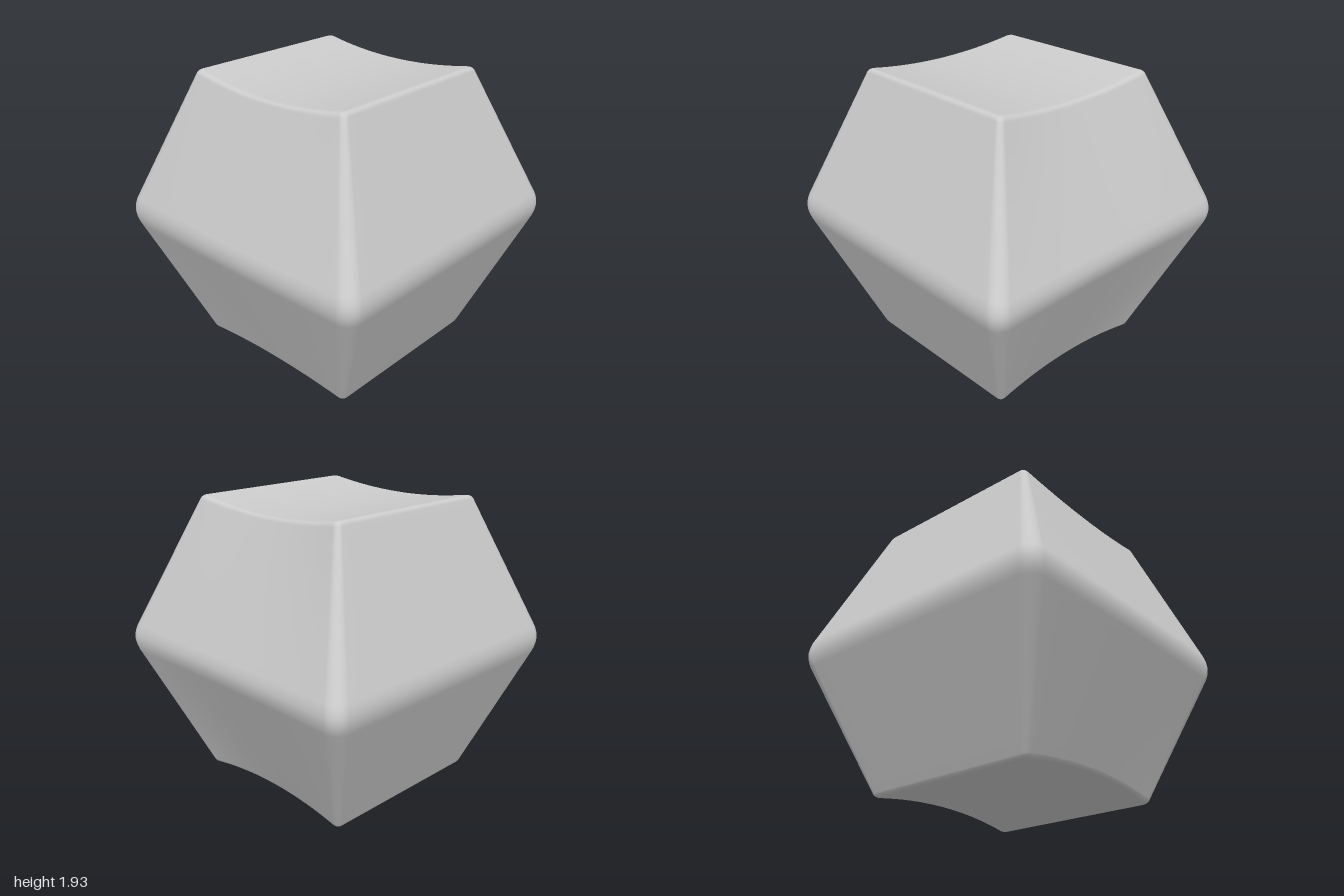
import * as THREE from 'three';

const MID = 0.965;      // height of the widest line
const RIM = 0.6;        // half width where the dished cap begins
const SCOOP = 0.055;    // depth of the dish

// Half profile (half width, height) from the widest line to the cap centre
function halfProfile() {
  const v = (x, y) => new THREE.Vector2(x, y);
  const path = new THREE.CurvePath();
  const belt = new THREE.QuadraticBezierCurve(v(1, MID), v(1, 1.01), v(0.98, 1.06));
  const wall = new THREE.LineCurve(v(0.98, 1.06), v(0.636, 1.905));
  const rim = new THREE.QuadraticBezierCurve(v(0.636, 1.905), v(0.626, 1.93), v(RIM, 1.93));
  const cap = new THREE.LineCurve(v(RIM, 1.93), v(0, 1.93));
  path.curves.push(belt, wall, rim, cap);
  const steps = [8, 14, 8, 14];
  const pts = [v(1, MID)];
  path.curves.forEach((c, i) => pts.push(...c.getPoints(steps[i]).slice(1)));
  return pts;
}

// Rounded square outline of half size w, always with the same point count
function outline(w) {
  const r = w > RIM ? 0.03 + (w - RIM) * 0.17 : 0.05 * w;
  const arc = 8, side = 18, e = w - r, pts = [];
  for (let k = 0; k < 4; k++) {
    const c = Math.cos(k * Math.PI / 2), s = Math.sin(k * Math.PI / 2);
    const add = (x, z) => pts.push([x * c - z * s, x * s + z * c]);
    for (let i = 0; i < side; i++) add(w, -e + 2 * e * i / side);
    for (let i = 0; i < arc; i++) {
      const a = i / arc * Math.PI / 2;
      add(e + r * Math.cos(a), e + r * Math.sin(a));
    }
  }
  return pts;
}

function bodyGeometry() {
  const half = halfProfile();
  const rings = [
    ...half.slice(1).reverse().map((p) => [p.x, p.y, -1]),
    ...half.map((p) => [p.x, p.y, 1]),
  ];
  const pos = [], index = [];
  let n = 0;
  for (const [w, y, dir] of rings) {
    const t = (y - MID) / MID;
    const ring = outline(w);
    n = ring.length;
    for (const [x, z] of ring) {
      const u = x / Math.max(w, RIM);
      const arch = 1 - u * u;
      // dish the caps, and bow the front outwards and the back inwards
      const h = y - MID - SCOOP * t * arch;
      const bow = -0.0075 + 0.0115 * t + (0.015 + 0.003 * t) * arch;
      pos.push(x, MID + dir * h, z * 0.9925 + bow);
    }
  }
  for (let i = 0; i < rings.length - 1; i++) {
    for (let j = 0; j < n; j++) {
      const a = i * n + j, b = i * n + (j + 1) % n;
      index.push(a, a + n, b, b, a + n, b + n);
    }
  }
  const g = new THREE.BufferGeometry();
  g.setAttribute('position', new THREE.Float32BufferAttribute(pos, 3));
  g.setIndex(index);
  g.computeVertexNormals();
  return g;
}

export function createModel() {
  const group = new THREE.Group();
  group.name = 'doubleTaperedBlock';
  const body = new THREE.Mesh(bodyGeometry(), new THREE.MeshStandardMaterial({ color: 0xcccccc }));
  body.name = 'body';
  group.add(body);
  return group;
}
